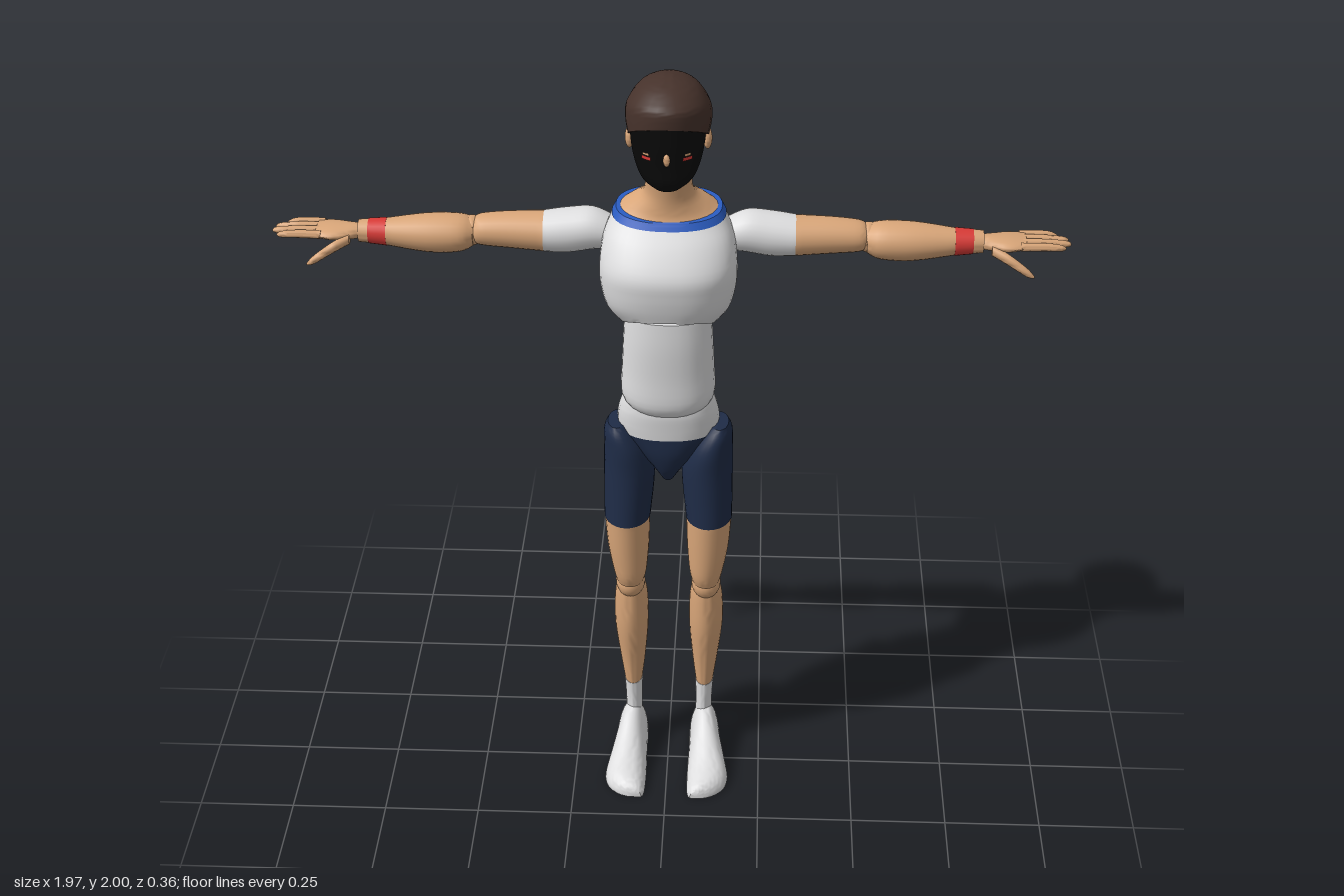
import * as THREE from 'three';
import { toCreasedNormals } from 'three/addons/utils/BufferGeometryUtils.js';

const mat = (name, color, extra = {}) => new THREE.MeshStandardMaterial({ name, color, ...extra });

// Position of a section point (t along the axis, u and v across it) for each loft axis
const axes = {
  y: (t, u, v) => [u, t, v],
  x: (t, u, v) => [t, u, v],
  z: (t, u, v) => [u, v, t],
  // shoe: flat sole, narrower towards the top
  shoe: (t, u, v, row, fu, fv) => {
    const k = Math.max(0, (fv + 0.4) / 1.4);
    return [row[1] + row[3] * fu * (1 - 0.25 * k), 0.005 + row[4] * k, t];
  },
};

// Catmull-Rom through the rows, column by column
function smoothRows(rows, steps) {
  const out = [];
  const at = (i) => rows[Math.min(rows.length - 1, Math.max(0, i))];
  for (let i = 0; i < rows.length - 1; i++) {
    for (let s = 0; s < steps; s++) {
      const f = s / steps;
      out.push(rows[i].map((b, c) => {
        const a = at(i - 1)[c], d = at(i + 1)[c], e = at(i + 2)[c];
        return b + 0.5 * f * (d - a + f * (2 * a - 5 * b + 4 * d - e + f * (3 * (b - d) + e - a)));
      }));
    }
  }
  out.push(rows[rows.length - 1]);
  return out;
}

// Loft of ellipses; row = [t, centre u, centre v, radius u, radius v, tilt], t ascending
function loft(rows, { axis = 'y', n = 28, p = 1, from = -Math.PI, to = Math.PI, steps = 4 } = {}) {
  const rings = smoothRows(rows.map((r) => [...r, 0].slice(0, 6)), steps);
  const pos = [], index = [], w = n + 1;
  const pw = (x) => Math.sign(x) * Math.abs(x) ** p;
  const tri = (a, b, c) => (axis === 'y' ? index.push(a, b, c) : index.push(a, c, b));
  for (const r of rings) {
    for (let i = 0; i <= n; i++) {
      const a = from + ((to - from) * i) / n, fu = pw(Math.sin(a)), fv = pw(Math.cos(a));
      pos.push(...axes[axis](r[0] + r[5] * r[4] * fv, r[1] + r[3] * fu, r[2] + r[4] * fv, r, fu, fv));
    }
  }
  for (let j = 0; j < rings.length - 1; j++) {
    for (let i = 0; i < n; i++) {
      const a = j * w + i;
      tri(a, a + 1, a + w + 1);
      tri(a, a + w + 1, a + w);
    }
  }
  if (to - from > 6.28) {
    for (const [j, r] of [[0, rings[0]], [rings.length - 1, rings[rings.length - 1]]]) {
      const c = pos.length / 3;
      pos.push(...axes[axis](r[0], r[1], r[2], r, 0, 0));
      for (let i = 0; i < n; i++) j ? tri(c, j * w + i, j * w + i + 1) : tri(c, i + 1, i);
    }
  }
  const g = new THREE.BufferGeometry();
  g.setAttribute('position', new THREE.Float32BufferAttribute(pos, 3));
  g.setIndex(index);
  return g;
}

const ball = (x, y, z, rx, ry, rz) =>
  new THREE.SphereGeometry(1, 20, 14).scale(rx, ry, rz).translate(x, y, z);

function mirrored(g) {
  const m = g.clone().scale(-1, 1, 1), ix = m.index.array;
  for (let i = 0; i < ix.length; i += 3) [ix[i + 1], ix[i + 2]] = [ix[i + 2], ix[i + 1]];
  return m;
}

export function createModel() {
  const model = new THREE.Group();
  model.name = 'jointedFigure';
  const skin = mat('skin', 0xd9a679), white = mat('white cloth', 0xdededf), navy = mat('navy cloth', 0x1f2c47);
  const hairBrown = mat('brown hair', 0x46322b), red = mat('red', 0xd83a36, { side: THREE.DoubleSide });
  const black = mat('black mask', 0x080808, { side: THREE.DoubleSide });
  const blue = mat('blue trim', 0x2a5cc0);

  const add = (name, g, m) => {
    const mesh = new THREE.Mesh(toCreasedNormals(g, 0.8), m);
    mesh.name = name;
    model.add(mesh);
  };
  const pair = (name, g, m) => {
    add('left ' + name, g, m);
    add('right ' + name, mirrored(g), m);
  };

  // Torso
  add('chest', loft([
    [1.36, 0, -0.02, 0.115, 0.09, 0.45], [1.4, 0, -0.03, 0.15, 0.108, 0.3],
    [1.46, 0, -0.042, 0.167, 0.126, 0.1], [1.52, 0, -0.045, 0.169, 0.128, 0],
    [1.58, 0, -0.065, 0.16, 0.11, 0], [1.625, 0, -0.08, 0.141, 0.09, -0.1],
    [1.645, 0, -0.08, 0.13, 0.078, -0.2]], { p: 0.85, n: 40 }), white);
  add('neckline trim', loft([
    [1.632, 0, -0.08, 0.14, 0.09, -0.15], [1.651, 0, -0.08, 0.13, 0.079, -0.2]], { p: 0.87, n: 40 }), blue);
  add('abdomen', loft([
    [1.135, 0, -0.03, 0.1, 0.075, -0.2], [1.17, 0, -0.023, 0.118, 0.086, -0.2],
    [1.24, 0, -0.022, 0.116, 0.085, -0.1], [1.32, 0, -0.02, 0.112, 0.084, 0],
    [1.39, 0, -0.02, 0.108, 0.08, 0]], { p: 0.9 }), white);
  add('hips', loft([
    [1.05, 0, -0.05, 0.126, 0.093], [1.08, 0, -0.046, 0.13, 0.091],
    [1.12, 0, -0.036, 0.124, 0.083], [1.155, 0, -0.03, 0.112, 0.073]], { p: 0.9 }), white);
  add('shorts seat', loft([
    [0.912, 0, -0.04, 0.018, 0.045], [0.95, 0, -0.05, 0.045, 0.078],
    [1.0, 0, -0.05, 0.085, 0.092], [1.05, 0, -0.05, 0.126, 0.093]], { p: 0.9 }), navy);

  // Neck and head
  add('neck', loft([
    [1.645, 0, -0.08, 0.128, 0.076, -0.2], [1.665, 0, -0.078, 0.1, 0.068, -0.2],
    [1.695, 0, -0.066, 0.064, 0.057, -0.1], [1.74, 0, -0.05, 0.056, 0.05, 0],
    [1.8, 0, -0.04, 0.056, 0.05, 0]]), skin);
  const face = [
    [1.747, 0, 0.02, 0.03, 0.035], [1.77, 0, 0.006, 0.06, 0.066], [1.81, 0, -0.02, 0.08, 0.092],
    [1.86, 0, -0.037, 0.09, 0.11], [1.912, 0, -0.045, 0.092, 0.117]];
  const grow = (rows, d) => rows.map(([t, u, v, a, b]) => [t, u, v, a + d, b + d]);
  add('head', loft([...face, [1.96, 0, -0.05, 0.075, 0.095]]), skin);
  add('face mask', loft(grow(face, 0.003), { from: -1.25, to: 1.25 }), black);
  add('hair', loft([
    [1.86, 0, -0.026, 0.096, 0.102, 0.5], [1.89, 0, -0.05, 0.103, 0.127, 0.36],
    [1.93, 0, -0.051, 0.1, 0.123, 0.2], [1.97, 0, -0.05, 0.075, 0.092, 0.05],
    [1.99, 0, -0.047, 0.044, 0.055, 0], [2.0, 0, -0.045, 0.008, 0.01, 0]]), hairBrown);
  pair('ear', ball(0.093, 1.842, -0.045, 0.011, 0.027, 0.018), skin);
  add('nose', ball(0, 1.835, 0.075, 0.008, 0.016, 0.008), skin);
  const eyePatch = (y0, y1, from, to) => loft(
    [[y0, 0, -0.032, 0.092, 0.111], [y1, 0, -0.033, 0.093, 0.112]], { from, to, n: 6, steps: 1 });
  pair('eye', eyePatch(1.831, 1.84, 0.42, 0.7), red);
  pair('eyelid', eyePatch(1.842, 1.848, 0.48, 0.66), skin);

  // Arms, along x
  const arm = (name, rows, m, n = 24) => pair(name, loft(rows, { axis: 'x', n }), m);
  arm('sleeve', [
    [0.14, 1.56, -0.113, 0.04, 0.045], [0.19, 1.567, -0.117, 0.053, 0.056],
    [0.25, 1.56, -0.118, 0.056, 0.059], [0.31, 1.556, -0.117, 0.051, 0.057]], white);
  arm('upper arm', [
    [0.31, 1.556, -0.117, 0.05, 0.056], [0.4, 1.557, -0.119, 0.045, 0.05],
    [0.465, 1.556, -0.12, 0.039, 0.044], [0.485, 1.555, -0.12, 0.03, 0.035]], skin);
  pair('elbow', ball(0.49, 1.552, -0.121, 0.033, 0.038, 0.039), skin);
  arm('forearm', [
    [0.485, 1.55, -0.118, 0.034, 0.04], [0.52, 1.548, -0.115, 0.047, 0.053],
    [0.6, 1.547, -0.114, 0.048, 0.053], [0.7, 1.548, -0.113, 0.034, 0.036]], skin);
  arm('wristband', [[0.7, 1.548, -0.113, 0.035, 0.037], [0.745, 1.549, -0.113, 0.031, 0.033]], red);
  arm('wrist', [[0.745, 1.549, -0.113, 0.03, 0.031], [0.77, 1.549, -0.113, 0.028, 0.029]], skin);
  arm('palm', [
    [0.765, 1.549, -0.113, 0.018, 0.023], [0.795, 1.549, -0.112, 0.018, 0.036],
    [0.835, 1.549, -0.114, 0.016, 0.049], [0.875, 1.549, -0.12, 0.011, 0.044]], skin);
  [0.955, 0.98, 0.985, 0.97].forEach((tip, i) => {
    const z = -0.155 + i * 0.024;
    arm('finger ' + (i + 1), [
      [0.86, 1.55, z, 0.011, 0.011], [0.92, 1.551, z, 0.01, 0.01],
      [tip - 0.012, 1.549, z, 0.008, 0.008], [tip, 1.548, z, 0.002, 0.002]], skin, 10);
  });
  arm('thumb', [
    [0.79, 1.54, -0.085, 0.014, 0.015], [0.83, 1.525, -0.062, 0.014, 0.013],
    [0.875, 1.499, -0.047, 0.011, 0.01], [0.893, 1.489, -0.042, 0.003, 0.003]], skin, 10);

  // Legs
  pair('shorts leg', loft([
    [0.79, 0.106, -0.03, 0.06, 0.08], [0.93, 0.1, -0.038, 0.066, 0.082], [1.0, 0.107, -0.043, 0.058, 0.086],
    [1.045, 0.122, -0.037, 0.042, 0.07], [1.07, 0.13, -0.032, 0.024, 0.048]]), navy);
  pair('thigh', loft([
    [0.585, 0.1, -0.022, 0.034, 0.041], [0.62, 0.1, -0.021, 0.043, 0.052],
    [0.7, 0.104, -0.027, 0.054, 0.068], [0.79, 0.106, -0.03, 0.059, 0.079]]), skin);
  pair('knee', ball(0.1, 0.575, -0.033, 0.039, 0.046, 0.047), skin);
  pair('shin', loft([
    [0.22, 0.097, -0.088, 0.024, 0.042], [0.3, 0.098, -0.085, 0.034, 0.053],
    [0.42, 0.1, -0.074, 0.045, 0.066], [0.52, 0.1, -0.062, 0.043, 0.06],
    [0.56, 0.1, -0.048, 0.034, 0.046]]), skin);
  pair('sock', loft([
    [0.09, 0.096, -0.087, 0.023, 0.038], [0.15, 0.096, -0.088, 0.022, 0.038],
    [0.22, 0.097, -0.088, 0.025, 0.043]]), white);

  // Shoes, along z; row = [z, x, 0, half width, height]
  pair('shoe', loft([
    [-0.142, 0.098, 0, 0.018, 0.05], [-0.12, 0.098, 0, 0.038, 0.1], [-0.075, 0.099, 0, 0.044, 0.132],
    [-0.03, 0.102, 0, 0.046, 0.122], [0.03, 0.107, 0, 0.053, 0.085], [0.09, 0.111, 0, 0.058, 0.057],
    [0.135, 0.107, 0, 0.053, 0.044], [0.165, 0.094, 0, 0.037, 0.034], [0.177, 0.083, 0, 0.018, 0.022]],
    { axis: 'shoe', p: 0.85, n: 32 }), white);

  return model;
}
